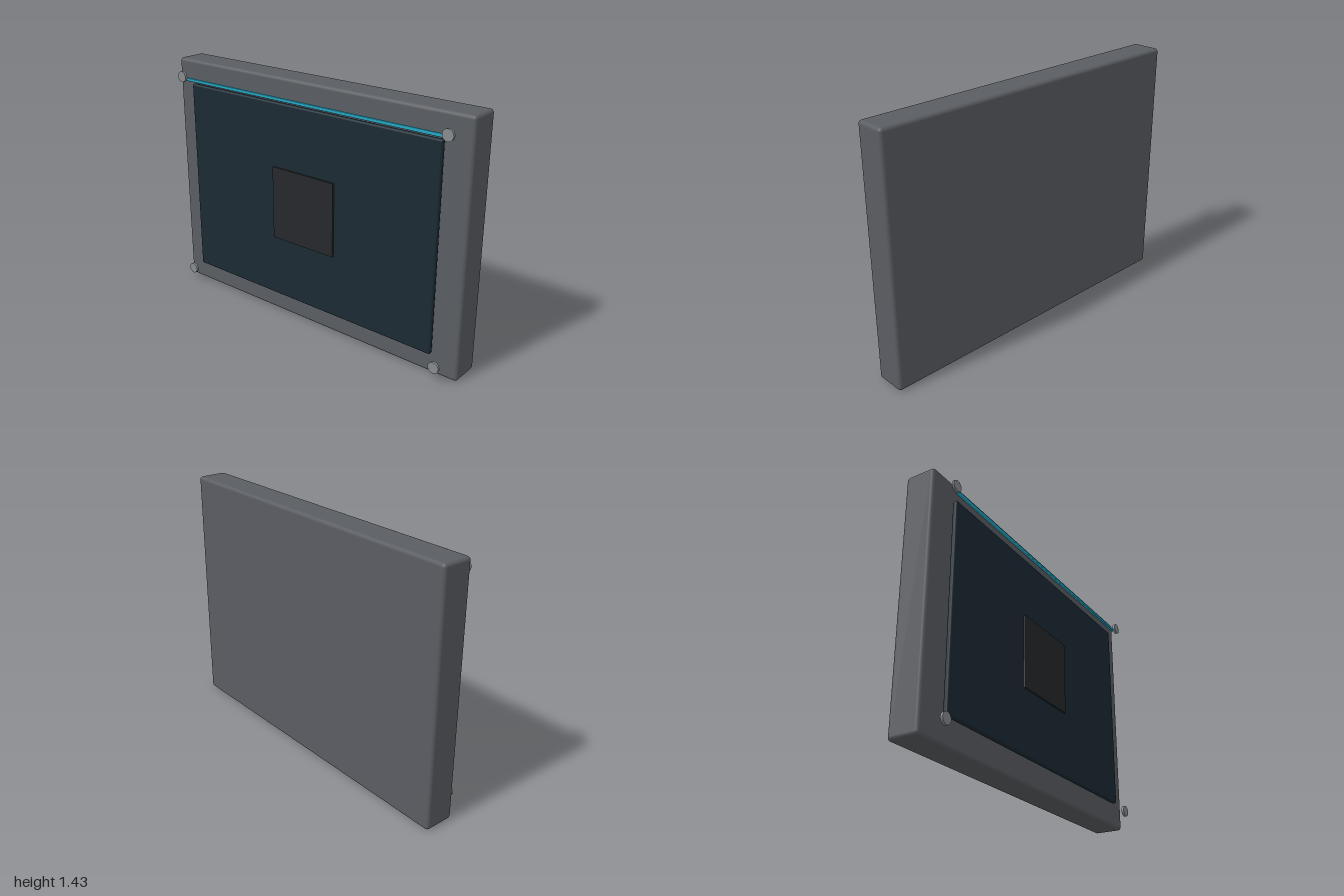
import * as THREE from 'three';
import { RoundedBoxGeometry } from 'three/addons/geometries/RoundedBoxGeometry.js';

const Y_MID = 0.716;

function paint(color) {
  return new THREE.MeshStandardMaterial({ color });
}

function add(group, name, geometry, material, x, y, z) {
  const mesh = new THREE.Mesh(geometry, material);
  mesh.name = name;
  mesh.position.set(x, y, z);
  group.add(mesh);
  return mesh;
}

export function createModel() {
  const model = new THREE.Group();
  model.name = 'wallPanel';

  // Thick housing with softened edges
  add(model, 'housing', new RoundedBoxGeometry(2, 1.432, 0.178, 4, 0.02),
    paint(0x5a5d62), 0, Y_MID, -0.039);

  // Dark screen floating in front of the housing
  add(model, 'screen', new RoundedBoxGeometry(1.71, 1.17, 0.03, 4, 0.011),
    paint(0x1b2a33), 0, Y_MID, 0.078);

  // Square plate at the centre of the screen
  add(model, 'centrePlate', new THREE.BoxGeometry(0.43, 0.43, 0.014),
    paint(0x25282b), 0, Y_MID, 0.097);

  // Light strip above the screen
  add(model, 'lightStrip', new RoundedBoxGeometry(1.77, 0.018, 0.016, 3, 0.004),
    paint(0x22a8c4), 0, 1.328, 0.107);

  // Round screw heads at the four corners
  const screw = new THREE.CylinderGeometry(0.032, 0.032, 0.014, 16).rotateX(Math.PI / 2);
  const steel = paint(0x888c90);
  for (const [side, x] of [['Left', 0.902], ['Right', -0.902]]) {
    add(model, `upper${side}Screw`, screw, steel, x, Y_MID + 0.626, 0.122);
    add(model, `lower${side}Screw`, screw, steel, x, Y_MID - 0.626, 0.122);
  }

  return model;
}
